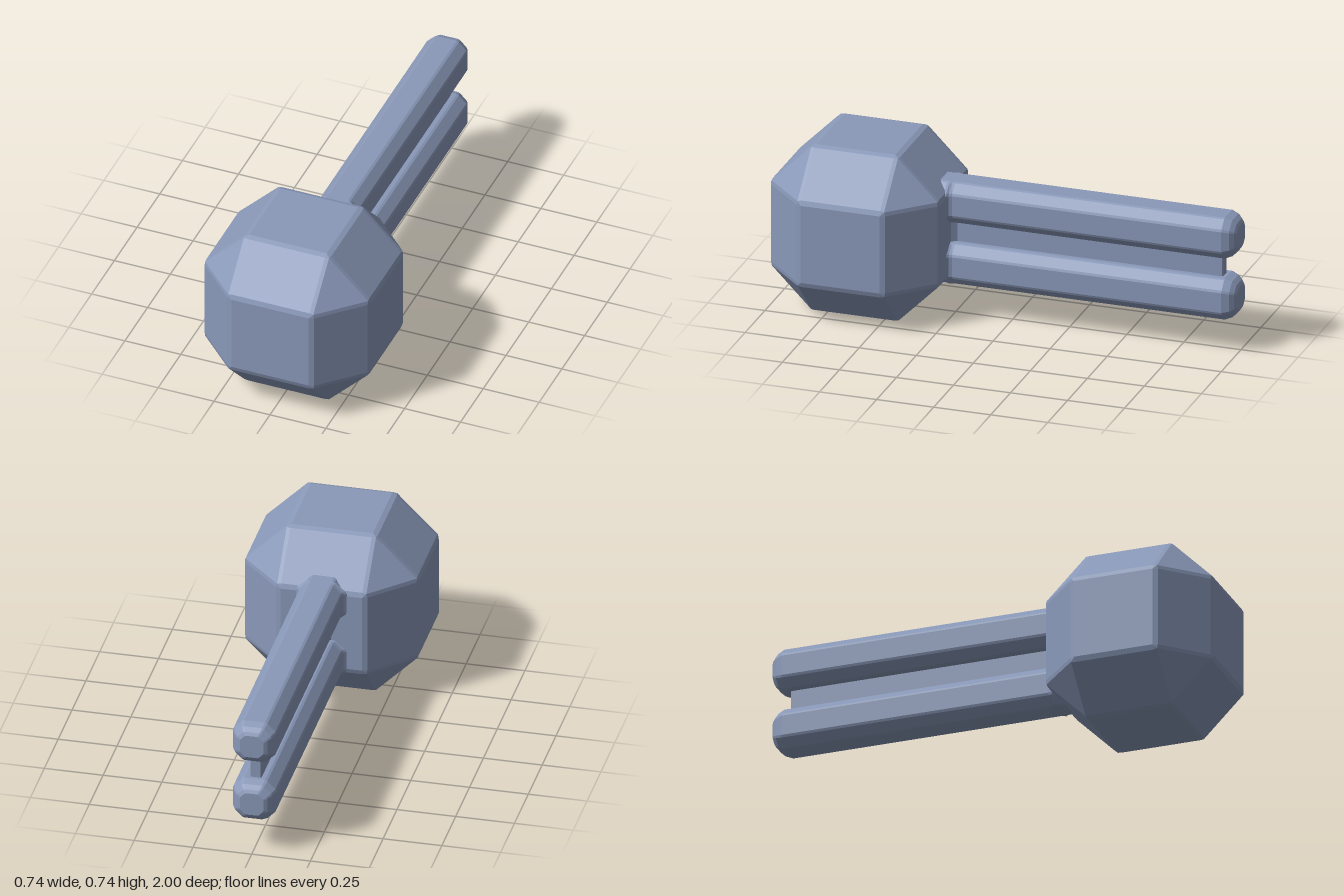
import * as THREE from 'three';
import { ConvexGeometry } from 'three/addons/geometries/ConvexGeometry.js';

const steelBlue = new THREE.MeshStandardMaterial({ color: 0x8a99b9 });
steelBlue.name = 'steelBlue';

// Cube with halved faces, 45 degree chamfers and thin bevels on every edge
function headGeometry(h) {
  const a = h / 2, b = 0.013, c = 0.008, t = 0.004;
  const corner = [
    [a - b, a - b, h],         // flat face
    [a - b, a + c, h - c],     // edge chamfers
    [a + c, a - b, h - c],
    [a + t, a + t, h - 2 * t], // corner triangle
  ];
  const points = [];
  for (let axis = 0; axis < 3; axis++)
    for (const sx of [-1, 1]) for (const sy of [-1, 1]) for (const sz of [-1, 1])
      for (const p of corner) {
        const q = [0, 1, 2].map((i) => p[(i + axis) % 3]);
        points.push(new THREE.Vector3(q[0] * sx, q[1] * sy, q[2] * sz));
      }
  return new ConvexGeometry(points);
}

// Octagonal outline with each corner softened by a narrow facet
function octagon(w, flat, soft) {
  const quarter = [
    [w, flat - soft], [w - soft * 0.7, flat + soft * 0.7],
    [flat + soft * 0.7, w - soft * 0.7], [flat - soft, w],
  ];
  const ring = [];
  for (let k = 0; k < 4; k++)
    for (let [x, y] of quarter) {
      for (let i = 0; i < k; i++) [x, y] = [-y, x];
      ring.push([x, y]);
    }
  return ring;
}

// Skins a ring along z; stations are [z, scaleX, scaleY] from back to front
function loft(ring, stations) {
  const n = ring.length, pos = [], index = [];
  for (const [z, sx, sy] of stations)
    for (const [x, y] of ring) pos.push(x * sx, y * sy, z);
  for (let s = 0; s < stations.length - 1; s++)
    for (let i = 0; i < n; i++) {
      const j = (i + 1) % n, p = s * n, q = p + n;
      index.push(p + i, p + j, q + j, p + i, q + j, q + i);
    }
  const last = (stations.length - 1) * n;
  for (let i = 1; i < n - 1; i++) {
    index.push(0, i + 1, i);
    index.push(last, last + i, last + i + 1);
  }
  const g = new THREE.BufferGeometry();
  g.setAttribute('position', new THREE.Float32BufferAttribute(pos, 3));
  g.setIndex(index);
  const flat = g.toNonIndexed();
  flat.computeVertexNormals();
  return flat;
}

export function createModel() {
  const model = new THREE.Group();
  const add = (name, geometry, y, z = 0) => {
    const mesh = new THREE.Mesh(geometry, steelBlue);
    mesh.name = name;
    mesh.position.set(0, y, z);
    model.add(mesh);
  };

  // Faceted head
  add('head', headGeometry(0.372), 0.372, 0.628);

  // Twin rods with rounded back ends and a small flare at the head
  const rod = loft(octagon(0.092, 0.05, 0.006), [
    [-1, 0.55, 0.55], [-0.992, 0.7, 0.7], [-0.975, 0.87, 0.87], [-0.945, 1, 1],
    [0.235, 1, 1], [0.248, 1.06, 1], [0.257, 1.18, 1], [0.27, 1, 1], [0.4, 1, 1],
  ]);
  add('upperRod', rod, 0.511);
  add('lowerRod', rod, 0.237);

  // Thin web joining the rods
  const strip = [[1, -1], [1, 1], [-1, 1], [-1, -1]];
  add('web', loft(strip, [
    [-0.93, 0.02, 0.075], [-0.925, 0.025, 0.075], [0.235, 0.025, 0.075],
    [0.257, 0.042, 0.075], [0.3, 0.042, 0.075],
  ]), 0.374);

  return model;
}
